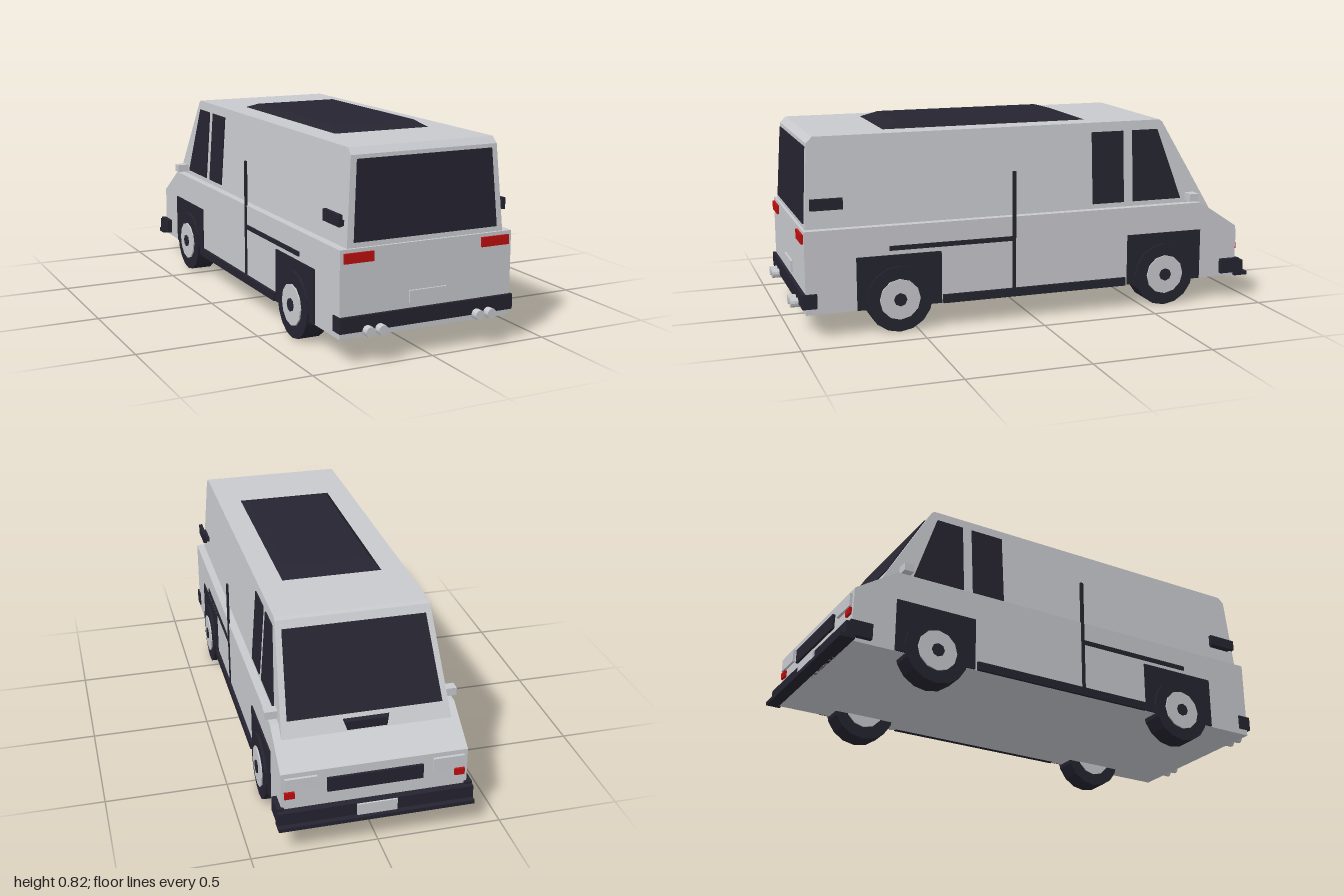
import * as THREE from 'three';
import { ConvexGeometry } from 'three/addons/geometries/ConvexGeometry.js';

export function createModel() {
  const van = new THREE.Group();
  van.name = 'van';

  const material = (name, color) => {
    const m = new THREE.MeshStandardMaterial({ color, flatShading: true });
    m.name = name;
    return m;
  };
  const paint = material('silver paint', 0xc8c9ce);
  const dark = material('dark trim', 0x252430);
  const red = material('red lamp', 0xbf0f0f);

  const add = (name, geometry, mat) => {
    const mesh = new THREE.Mesh(geometry, mat);
    mesh.name = name;
    van.add(mesh);
    return mesh;
  };
  // Box given by its limits on each axis
  const box = (name, mat, [x0, x1], [y0, y1], [z0, z1]) => {
    const g = new THREE.BoxGeometry(Math.abs(x1 - x0), y1 - y0, Math.abs(z1 - z0));
    g.translate((x0 + x1) / 2, (y0 + y1) / 2, (z0 + z1) / 2);
    return add(name, g, mat);
  };
  const hull = (name, mat, points) =>
    add(name, new ConvexGeometry(points.map((p) => new THREE.Vector3(...p))), mat);
  const bothSides = (points) => points.flatMap(([x, y, z]) => [[x, y, z], [-x, y, z]]);

  // Surfaces of the tapered cabin, as functions of height
  const sideX = (y) => 0.336 - 0.072 * (y - 0.44);
  const rearZ = (y) => 0.944 - 0.057 * (y - 0.44);
  const screenZ = (y) => -0.807 + 0.577 * (y - 0.44);

  // Lower body with sloping hood
  hull('lowerBody', paint, bothSides([
    [0.37, 0.1, 0.955], [0.37, 0.437, 0.955], [0.37, 0.437, -0.77],
    [0.37, 0.322, -0.945], [0.37, 0.1, -0.95],
  ]));

  // Cabin with chamfered roof ends
  hull('cabin', paint, bothSides([
    [sideX(0.4), 0.4, rearZ(0.4)], [sideX(0.775), 0.775, rearZ(0.775)],
    [sideX(0.8), 0.8, 0.9], [sideX(0.8), 0.8, -0.592],
    [sideX(0.79), 0.79, screenZ(0.79)], [sideX(0.4), 0.4, screenZ(0.4)],
  ]));

  // Raised roof panel
  hull('roofPanel', dark, bothSides([
    [0.21, 0.798, 0.6], [0.21, 0.798, -0.295],
    [0.183, 0.823, 0.52], [0.183, 0.823, -0.205],
  ]));

  // Rear window and windscreen
  const pane = (name, z, offset) => hull(name, dark, [-0.004, offset].flatMap((d) => bothSides([
    [0.308, 0.457, z(0.457) + Math.sign(offset) * Math.abs(d) * Math.sign(d * offset)],
    [0.288, 0.76, z(0.76) + Math.sign(offset) * Math.abs(d) * Math.sign(d * offset)],
  ])));
  pane('rearWindow', rearZ, 0.005);
  const screen = [0.004, -0.005].flatMap((d) => bothSides([
    [0.31, 0.46, screenZ(0.46) + d], [0.288, 0.76, screenZ(0.76) + d],
  ]));
  hull('windscreen', dark, screen);

  for (const s of [1, -1]) {
    const sx = (a, b) => [s * a, s * b];

    // Side windows follow the slanted wall
    const sideWindow = (corners) => hull('sideWindow', dark, [-0.004, 0.005].flatMap((d) =>
      corners.map(([z, y]) => [s * (sideX(y) + d), y, z])));
    sideWindow([[-0.277, 0.457], [-0.277, 0.76], [-0.42, 0.76], [-0.42, 0.457]]);
    sideWindow([[-0.463, 0.457], [-0.463, 0.76], [-0.58, 0.76], [-0.687, 0.457]]);

    // Wheel arches and wheels
    for (const [z, z0, z1] of [[0.578, 0.4, 0.75], [-0.597, -0.77, -0.425]]) {
      box('wheelArch', dark, sx(0.362, 0.376), [0.101, 0.318], [z0, z1]);
      const disc = (name, mat, r, x0, x1, sides) => {
        const g = new THREE.CylinderGeometry(r, r, x1 - x0, sides);
        g.rotateZ(Math.PI / 2).translate(s * (x0 + x1) / 2, 0.136, z);
        add(name, g, mat);
      };
      disc('tire', dark, 0.136, 0.295, 0.385, 16);
      disc('hub', paint, 0.084, 0.291, 0.391, 12);
      disc('hubCap', dark, 0.027, 0.3, 0.396, 8);
    }

    // Sill, door track and side post
    box('sill', dark, sx(0.36, 0.382), [0.1, 0.135], [-0.415, 0.395]);
    box('doorTrack', dark, sx(0.364, 0.375), [0.336, 0.355], [0.085, 0.615]);
    box('sidePost', dark, sx(0.366, 0.375), [0.12, 0.626], [0.08, 0.094]);

    // Side vent on its bracket
    box('sideVent', dark, sx(0.345, 0.36), [0.515, 0.56], [0.795, 0.925]);
    box('ventBracket', dark, sx(0.32, 0.346), [0.515, 0.535], [0.81, 0.91]);

    // Wing mirror
    box('mirror', paint, sx(0.335, 0.386), [0.447, 0.48], [-0.75, -0.71]);

    // Lamps
    box('tailLight', red, sx(0.233, 0.355), [0.385, 0.423], [0.95, 0.964]);
    box('headlight', paint, sx(0.23, 0.355), [0.25, 0.303], [-0.957, -0.94]);
    box('indicator', red, sx(0.318, 0.358), [0.215, 0.243], [-0.957, -0.94]);

    // Bumper ends
    box('frontBumperEnd', dark, sx(0.36, 0.39), [0.115, 0.178], [-0.96, -0.87]);
    box('rearBumperEnd', dark, sx(0.362, 0.376), [0.125, 0.185], [0.91, 0.968]);

    // Twin exhaust pipes
    for (const x of [0.21, 0.263]) {
      const g = new THREE.CylinderGeometry(0.02, 0.02, 0.08, 12);
      g.rotateX(Math.PI / 2).translate(s * x, 0.128, 0.96);
      add('exhaustPipe', g, paint);
    }
  }

  // Bumpers, grille, hood vent and blank plates
  box('frontBumper', dark, [-0.39, 0.39], [0.11, 0.168], [-0.978, -0.94]);
  box('frontLip', dark, [-0.39, 0.39], [0.1, 0.116], [-1, -0.94]);
  box('rearBumper', dark, [-0.372, 0.372], [0.125, 0.185], [0.95, 0.969]);
  box('grille', dark, [-0.19, 0.19], [0.225, 0.285], [-0.957, -0.94]);
  hull('hoodVent', dark, bothSides([
    [0.105, 0.41, -0.785], [0.105, 0.445, -0.785], [0.08, 0.44, -0.828], [0.08, 0.395, -0.828],
  ]));
  box('rearPlate', paint, [-0.08, 0.08], [0.205, 0.253], [0.95, 0.963]);
  box('frontPlate', paint, [-0.08, 0.08], [0.118, 0.166], [-0.986, -0.97]);

  return van;
}
